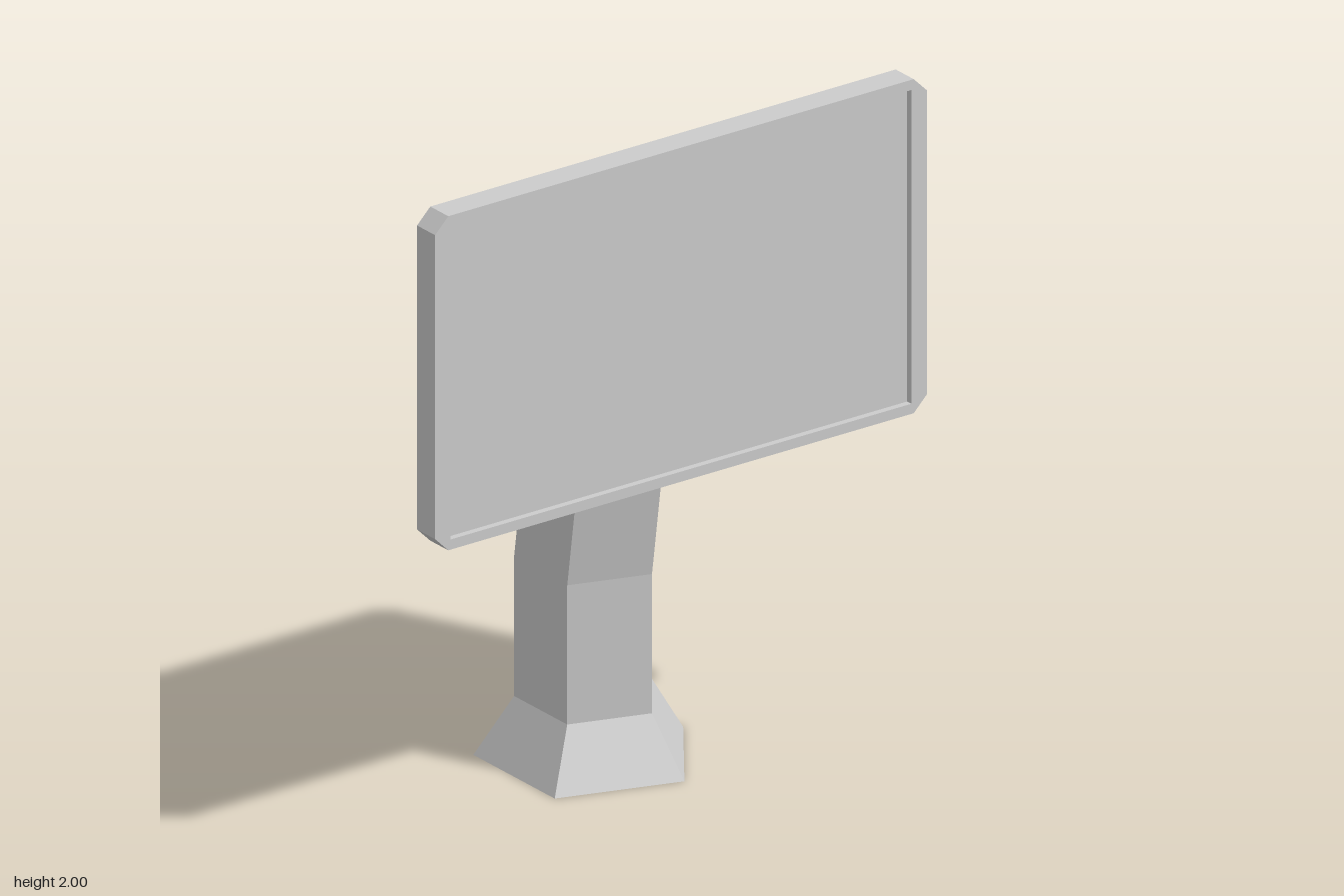
import * as THREE from 'three';

const grey = () => new THREE.MeshStandardMaterial({ color: 0xcccccc, flatShading: true });

// Five-sided stalk: each ring is [centre x, centre y, radius, tilt in degrees]
const RINGS = [
  [-0.06, 0, 0.326, 0],
  [-0.058, 0.18, 0.213, 0],
  [-0.058, 0.605, 0.213, 0],
  [0, 1.0, 0.213, 0],
  [0.001, 1.279, 0.213, 56],
  [0.1, 1.337, 0.213, 78.5],
  [0.234, 1.365, 0.262, 81.5],
  [0.285, 1.365, 0.348, 90],
];

function ringPoints([cx, cy, r, tilt]) {
  const t = THREE.MathUtils.degToRad(tilt);
  return Array.from({ length: 5 }, (_, i) => {
    // pentagon with one corner pointing to the back (-z)
    const a = -Math.PI / 2 + ((i + 1) * Math.PI * 2) / 5;
    const u = Math.cos(a) * r;
    return new THREE.Vector3(cx - u * Math.cos(t), cy + u * Math.sin(t), Math.sin(a) * r + 0.003);
  });
}

function createStalk() {
  const rings = RINGS.map(ringPoints);
  const tris = [];
  for (let k = 0; k < rings.length - 1; k++) {
    const lo = rings[k], hi = rings[k + 1];
    for (let i = 0; i < 5; i++) {
      const j = (i + 1) % 5;
      tris.push(lo[i], lo[j], hi[j], lo[i], hi[j], hi[i]);
    }
  }
  // caps under the foot and against the screen
  const foot = rings[0], end = rings[rings.length - 1];
  for (let i = 1; i < 4; i++) {
    tris.push(foot[0], foot[i + 1], foot[i]);
    tris.push(end[0], end[i], end[i + 1]);
  }
  const geo = new THREE.BufferGeometry().setFromPoints(tris);
  geo.computeVertexNormals();
  const mesh = new THREE.Mesh(geo, grey());
  mesh.name = 'stalk';
  return mesh;
}

// Rectangle outline with cut corners
function cutRectangle(halfWidth, halfHeight, cut) {
  const w = halfWidth, h = halfHeight, c = cut;
  return [
    [-w + c, -h], [w - c, -h], [w, -h + c], [w, h - c],
    [w - c, h], [-w + c, h], [-w, h - c], [-w, -h + c],
  ].map(([x, y]) => new THREE.Vector2(x, y));
}

function createScreen() {
  const screen = new THREE.Group();
  screen.name = 'screen';
  const outline = () => new THREE.Shape(cutRectangle(0.857, 0.51, 0.046));

  // Solid slab whose +x face is the display surface
  const slab = new THREE.Mesh(
    new THREE.ExtrudeGeometry(outline(), { depth: 0.065, bevelEnabled: false }), grey());
  slab.name = 'screenBody';

  // Thin raised rim around the display
  const rimShape = outline();
  const w = 0.803, h = 0.479;
  rimShape.holes.push(new THREE.Path(
    [[-w, -h], [-w, h], [w, h], [w, -h]].map(([x, y]) => new THREE.Vector2(x, y))));
  const rim = new THREE.Mesh(
    new THREE.ExtrudeGeometry(rimShape, { depth: 0.02, bevelEnabled: false }), grey());
  rim.name = 'screenRim';
  rim.position.z = 0.065;

  screen.add(slab, rim);
  screen.rotation.y = Math.PI / 2;
  screen.position.set(0.281, 1.49, 0);
  return screen;
}

export function createModel() {
  const model = new THREE.Group();
  model.name = 'screenOnStand';
  model.add(createStalk(), createScreen());
  return model;
}
